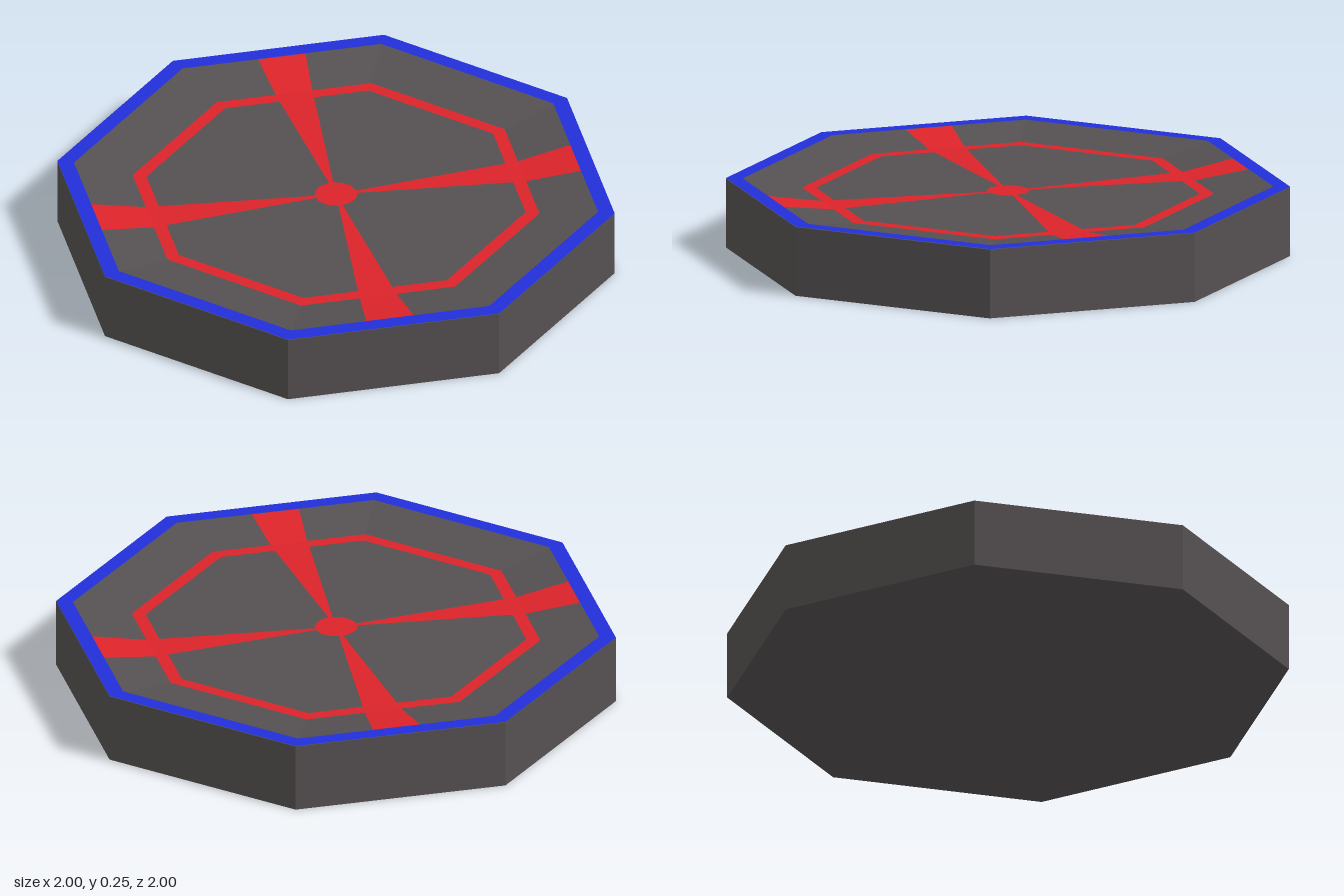
import * as THREE from 'three';

const SIDES = 8, TOP = 0.25, FLOOR = 0.22, LIFT = 0.002;
const RIM_IN = 0.94, FLOOR_R = 0.73;
const APOTHEM = Math.cos(Math.PI / SIDES);

const paint = (color) => new THREE.MeshStandardMaterial({ color, flatShading: true });

// Eight-sided solid of revolution; profile runs from underside, up the wall, to the centre
function octagon(name, profile, material) {
  const points = profile.map(([r, y]) => new THREE.Vector2(r, y));
  const mesh = new THREE.Mesh(new THREE.LatheGeometry(points, SIDES), material);
  mesh.name = name;
  return mesh;
}

// Wedge from the centre along +x, folded up the sloping border of the dish
function spokeGeometry() {
  const end = RIM_IN * APOTHEM, fold = FLOOR_R * APOTHEM;
  const halfEnd = 0.086, halfFold = halfEnd * fold / end;
  const low = FLOOR + LIFT, high = TOP + LIFT / 2;
  const geometry = new THREE.BufferGeometry();
  geometry.setAttribute('position', new THREE.Float32BufferAttribute([
    0, low, 0,
    fold, low, halfFold, fold, low, -halfFold,
    end, high, halfEnd, end, high, -halfEnd,
  ], 3));
  geometry.setIndex([0, 1, 2, 1, 3, 4, 1, 4, 2]);
  geometry.computeVertexNormals();
  return geometry;
}

export function createModel() {
  const group = new THREE.Group();
  const dark = paint(0x555051), blue = paint(0x2230d8), red = paint(0xdc242a);

  // Slab with a shallow dished top
  group.add(octagon('slab', [
    [0, 0], [1, 0], [1, TOP], [RIM_IN, TOP], [FLOOR_R, FLOOR], [0, FLOOR],
  ], dark));

  // Painted border and inner ring
  group.add(octagon('rim', [[1, TOP + LIFT], [RIM_IN, TOP + LIFT]], blue));
  group.add(octagon('ring', [[FLOOR_R, FLOOR + LIFT], [0.68, FLOOR + LIFT]], red));

  // Four spokes meeting the middles of alternate sides
  const wedge = spokeGeometry();
  for (let i = 0; i < 4; i++) {
    const spoke = new THREE.Mesh(wedge, red);
    spoke.name = 'spoke';
    spoke.rotation.y = Math.PI / 8 + i * Math.PI / 2;
    group.add(spoke);
  }

  // Central disc
  const hub = new THREE.Mesh(new THREE.CircleGeometry(0.075, 24), red);
  hub.name = 'hub';
  hub.rotation.x = -Math.PI / 2;
  hub.position.y = FLOOR + LIFT * 1.5;
  group.add(hub);

  return group;
}
